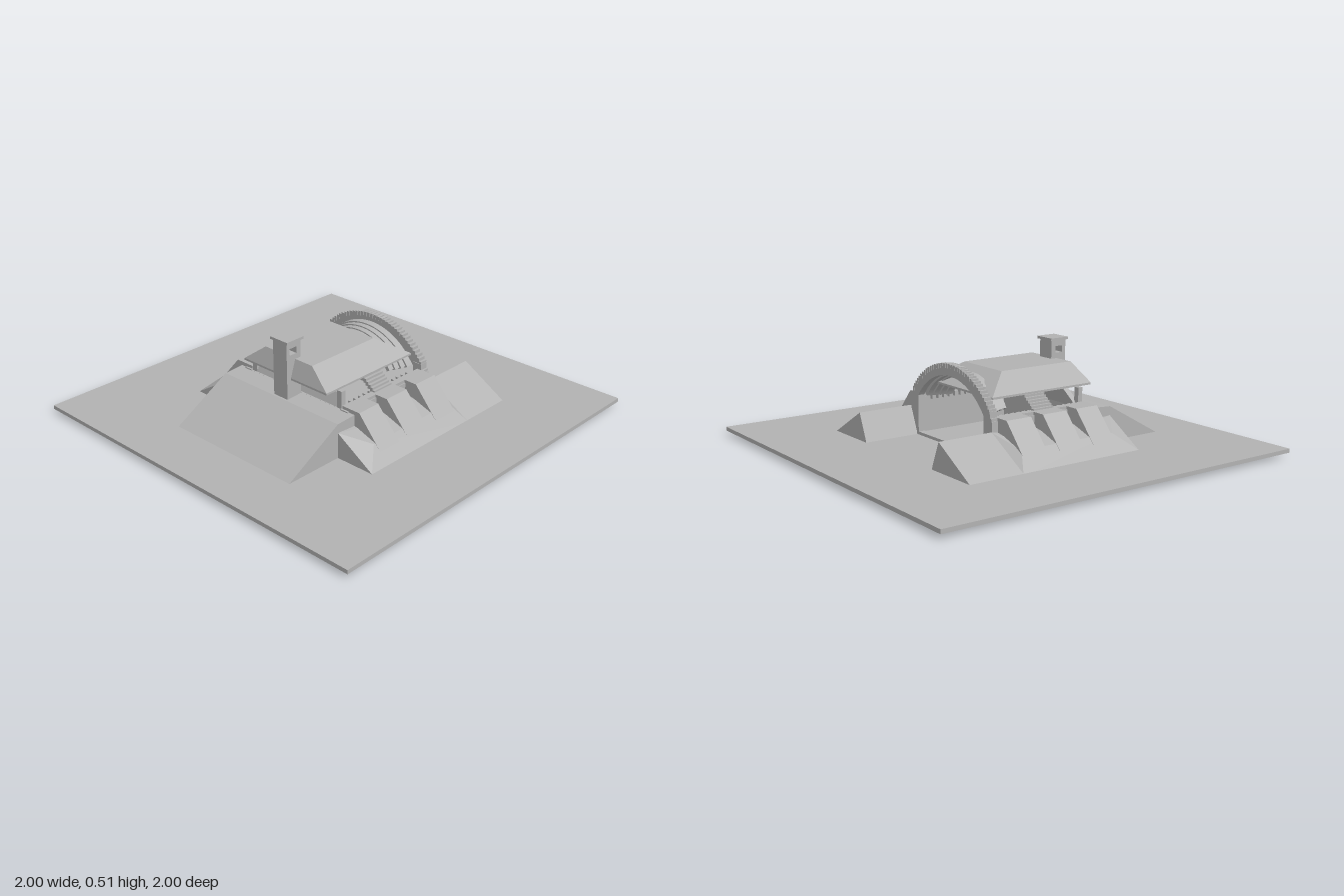
import * as THREE from 'three';
import { ConvexGeometry } from 'three/addons/geometries/ConvexGeometry.js';

export function createModel() {
  const root = new THREE.Group();
  const stone = new THREE.MeshStandardMaterial({ color: 0xb2b2b2 });
  stone.name = 'stone grey';

  const add = (name, geo, parent = root) => {
    const m = new THREE.Mesh(geo, stone);
    m.name = name;
    parent.add(m);
    return m;
  };
  // Box given by its minimum and maximum on each axis
  const box = (name, x0, x1, y0, y1, z0, z1, parent) => {
    const g = new THREE.BoxGeometry(x1 - x0, y1 - y0, z1 - z0);
    g.translate((x0 + x1) / 2, (y0 + y1) / 2, (z0 + z1) / 2);
    return add(name, g, parent);
  };
  // Convex solid from corner points
  const hull = (name, pts, parent) =>
    add(name, new ConvexGeometry(pts.map(p => new THREE.Vector3(...p))), parent);
  // Convex solid between two x/y sections at two depths, on side s
  const loft = (name, s, a, z0, b, z1, parent) =>
    hull(name, [...a.map(([x, y]) => [s * x, y, z0]), ...b.map(([x, y]) => [s * x, y, z1])], parent);
  const group = name => {
    const g = new THREE.Group();
    g.name = name;
    root.add(g);
    return g;
  };

  // Ground plate
  box('ground', -1, 1, 0.02, 0.04, -1, 1);

  // Foundation showing under the plate
  const foundation = group('foundation');
  box('frontFooting', -0.31, 0.31, 0, 0.025, 0.2, 0.305, foundation);
  box('backFooting', -0.31, 0.31, 0, 0.025, -0.28, -0.24, foundation);
  const bays = [[0.16, 0.29], [-0.04, 0.1], [-0.25, -0.11]];

  // Sloping earth bank at the front
  hull('frontBank', [-0.38, 0.38].flatMap(x =>
    [[x, 0.035, 0.72], [x, 0.215, 0.4], [x, 0.22, 0.29], [x, 0.035, 0.29]]));

  // Side banks, mounds and walls
  const ridge = [[0.29, 0.035], [0.35, 0.18], [0.59, 0.04]];
  const middle = [[0.34, 0.035], [0.34, 0.17], [0.4, 0.16], [0.51, 0.122], [0.59, 0.04]];
  const end = [[0.34, 0.035], [0.34, 0.17], [0.38, 0.17], [0.59, 0.04]];
  const mound = [[0.33, 0.035], [0.33, 0.24], [0.41, 0.24], [0.585, 0.04]];
  for (const s of [-1, 1]) {
    const side = group(s > 0 ? 'leftSide' : 'rightSide');
    loft('backBank', s, ridge, -0.58, ridge, -0.29, side);
    loft('bankJoint', s, ridge, -0.29, middle, -0.24, side);
    loft('middleBank', s, middle, -0.24, middle, 0.3, side);
    loft('frontBankEnd', s, middle, 0.3, end, 0.4, side);
    const sbox = (name, x0, x1, ...r) =>
      box(name, Math.min(s * x0, s * x1), Math.max(s * x0, s * x1), ...r, side);
    for (const [z0, z1] of bays) {
      loft('mound', s, mound, z0, mound, z1, side);
      sbox('buttressFooting', 0.3, 0.52, 0, 0.025, z0, z1);
    }
    sbox('wallFooting', 0.29, 0.37, 0, 0.025, -0.25, 0.3);
    sbox('sideWall', 0.3, 0.345, 0.035, 0.225, -0.285, 0.3);
    sbox('wallCap', 0.305, 0.34, 0.225, 0.24, -0.285, 0.29);
    sbox('cornerPost', 0.27, 0.3, 0.2, 0.31, 0.265, 0.29);
    sbox('archPier', 0.28, 0.33, 0.04, 0.27, -0.285, -0.245);

    // Stepped corbels carrying the roof
    for (let i = 0; i < 7; i++) {
      const x = 0.325 - i * 0.014;
      sbox('corbel', x - 0.03, x, 0.237 + i * 0.011, 0.248 + i * 0.011, -0.03, 0.09);
    }
    // Small brick teeth along the inner edge of the wall
    for (let i = 0; i < 14; i++) {
      const z = -0.2 + i * 0.034;
      sbox('brickTooth', 0.28, 0.305, 0.21, 0.235, z, z + 0.018);
    }
  }

  // Room floor, threshold and front wall
  box('floor', -0.31, 0.31, 0.03, 0.046, -0.26, 0.29);
  box('threshold', -0.31, 0.31, 0.04, 0.055, -0.285, -0.25);
  box('frontWall', -0.31, 0.31, 0.04, 0.22, 0.26, 0.295);
  hull('upperFrontWall', [-1, 1].flatMap(s => [
    [s * 0.29, 0.215, 0.29], [s * 0.29, 0.215, 0.26],
    [s * 0.22, 0.315, 0.25], [s * 0.22, 0.315, 0.22]]));

  // Hipped roof with a thin eave
  const rect = (x, y, z0, z1) => [[-x, y, z0], [x, y, z0], [-x, y, z1], [x, y, z1]];
  hull('roof', [...rect(0.275, 0.31, -0.23, 0.365), ...rect(0.275, 0.32, -0.23, 0.365),
    ...rect(0.155, 0.41, -0.09, 0.335)]);

  // Curved shell of given half width, spring height and crown height
  const archShell = (name, half, spring, top, thick, z0, z1, parent) => {
    const rise = top - spring;
    const r = (half * half + rise * rise) / (2 * rise);
    const a = Math.asin(half / r);
    const shape = new THREE.Shape();
    shape.absarc(0, top - r, r, Math.PI / 2 - a, Math.PI / 2 + a, false);
    shape.absarc(0, top - r, r - thick, Math.PI / 2 + a, Math.PI / 2 - a, true);
    const g = new THREE.ExtrudeGeometry(shape, { depth: z1 - z0, bevelEnabled: false, curveSegments: 24 });
    g.translate(0, 0, z0);
    add(name, g, parent);
    return { r, a, cy: top - r };
  };

  // Entrance arch with a row of bricks standing on its curve
  const arch = group('entranceArch');
  const { r, a, cy } = archShell('archRing', 0.325, 0.265, 0.434, 0.05, -0.285, -0.248, arch);
  const count = 37;
  for (let i = 0; i < count; i++) {
    const t = ((i + 0.5) / count * 2 - 1) * a;
    const brick = add('archBrick', new THREE.BoxGeometry(0.016, 0.022, 0.041), arch);
    brick.position.set(Math.sin(t) * r, cy + Math.cos(t) * r - 0.003, -0.2665);
    if (Math.abs(t) < 0.2) brick.rotation.z = -t;
  }

  // Stepped vault running from the arch into the roof
  const vault = group('vault');
  for (let i = 0; i < 4; i++)
    archShell('vaultRing', 0.27 - i * 0.012, 0.25, 0.4 - i * 0.006, 0.02, -0.25 + i * 0.03, -0.21 + i * 0.03, vault);

  // Chimney with a sideways opening below its cap
  const chimney = group('chimney');
  box('shaft', -0.045, 0.045, 0.2, 0.438, 0.3, 0.39, chimney);
  box('frontCheek', -0.045, 0.045, 0.438, 0.472, 0.37, 0.39, chimney);
  box('backCheek', -0.045, 0.045, 0.438, 0.472, 0.3, 0.327, chimney);
  box('head', -0.045, 0.045, 0.472, 0.502, 0.3, 0.39, chimney);
  box('cap', -0.056, 0.056, 0.502, 0.515, 0.29, 0.397, chimney);

  return root;
}
